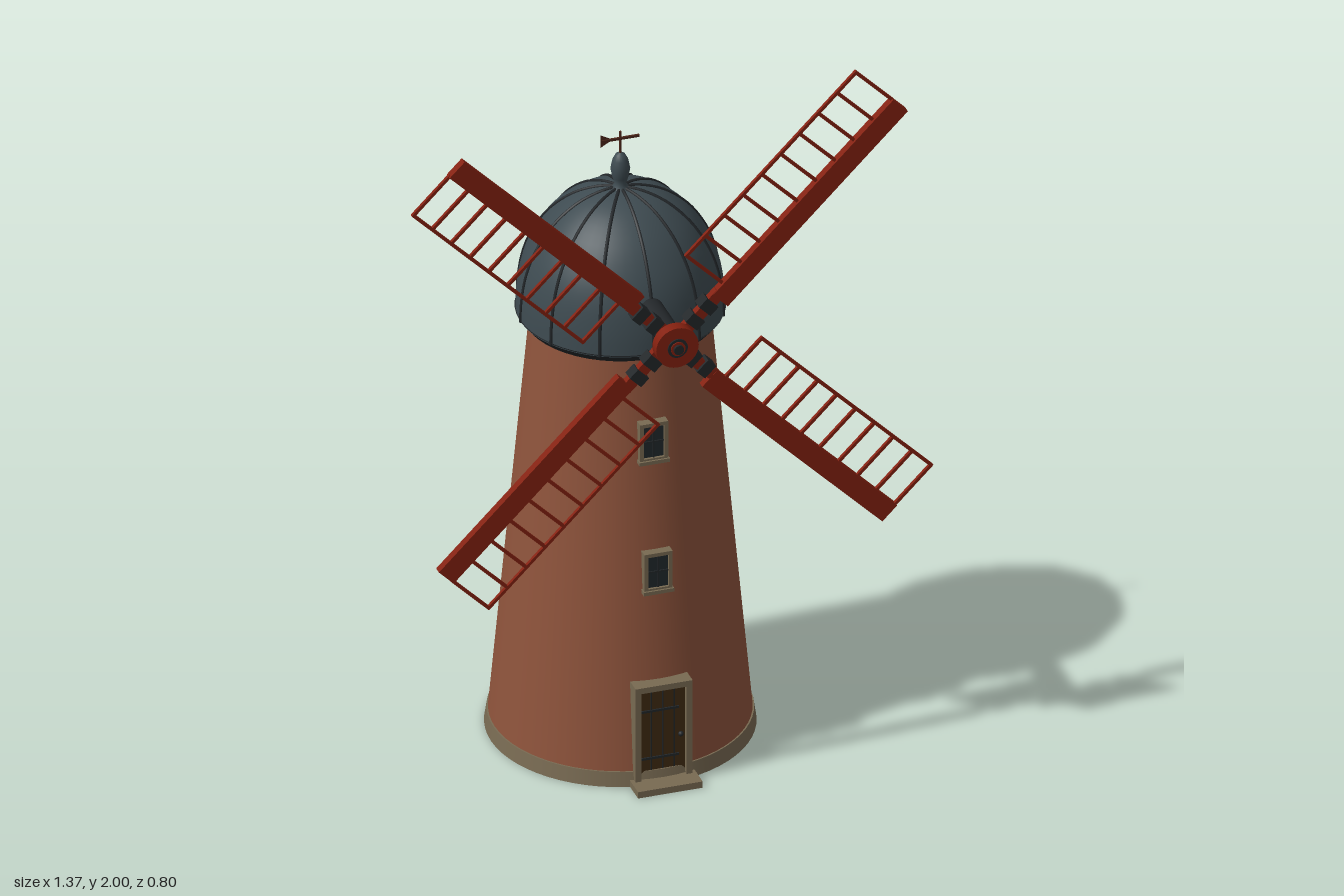
import * as THREE from 'three';

const AXIS_Z = -0.06; // tower axis
const HUB_Y = 1.31;

export function createModel() {
  const root = new THREE.Group();
  root.name = 'windmill';
  const mat = (name, color, side = THREE.FrontSide) => {
    const m = new THREE.MeshStandardMaterial({ color, side });
    m.name = name;
    return m;
  };
  const brick = mat('brick', 0x8f543c);
  const stone = mat('stone', 0x786a52);
  const slate = mat('slate', 0x3e4b51);
  const iron = mat('iron', 0x222629);
  const red = mat('red paint', 0x84200f);
  const wood = mat('door wood', 0x3e2a12);
  const glass = mat('window glass', 0x20282b);
  const vaneMat = mat('vane metal', 0x4a2418, THREE.DoubleSide);

  const add = (parent, name, geo, material, x = 0, y = 0, z = 0) => {
    const m = new THREE.Mesh(geo, material);
    m.name = name;
    m.position.set(x, y, z);
    parent.add(m);
    return m;
  };
  const box = (parent, name, material, w, h, d, x, y, z) =>
    add(parent, name, new THREE.BoxGeometry(w, h, d), material, x, y, z);
  const cyl = (rt, rb, h, n = 32) => new THREE.CylinderGeometry(rt, rb, h, n);
  const frame = (w, h, t, d) => {
    const s = new THREE.Shape();
    s.moveTo(-w / 2, -h / 2).lineTo(w / 2, -h / 2).lineTo(w / 2, h / 2).lineTo(-w / 2, h / 2);
    const a = w / 2 - t, b = h / 2 - t;
    s.holes.push(new THREE.Path().moveTo(-a, -b).lineTo(-a, b).lineTo(a, b).lineTo(a, -b));
    return new THREE.ExtrudeGeometry(s, { depth: d, bevelEnabled: false });
  };

  // Tower
  const tower = new THREE.Group();
  tower.name = 'tower';
  tower.position.z = AXIS_Z;
  root.add(tower);
  add(tower, 'plinth', cyl(0.334, 0.34, 0.04, 64), stone, 0, 0.02);
  add(tower, 'towerWall', cyl(0.225, 0.33, 1.15, 64), brick, 0, 0.615);

  // Domed cap with ribs
  const cap = new THREE.Group();
  cap.name = 'cap';
  cap.position.z = AXIS_Z;
  root.add(cap);
  const profile = new THREE.SplineCurve([
    [0.262, 1.19], [0.259, 1.25], [0.247, 1.32], [0.222, 1.385],
    [0.178, 1.45], [0.118, 1.5], [0.055, 1.526], [0, 1.533],
  ].map(p => new THREE.Vector2(...p))).getPoints(24);
  add(cap, 'dome', new THREE.LatheGeometry(profile, 48), slate);
  add(cap, 'capRim', cyl(0.264, 0.245, 0.025, 48), iron, 0, 1.182);
  const ribPath = new THREE.CatmullRomCurve3(profile.map(p => new THREE.Vector3(p.x, p.y, 0)));
  const ribGeo = new THREE.TubeGeometry(ribPath, 24, 0.0045, 6);
  for (let i = 0; i < 12; i++) add(cap, 'rib', ribGeo, iron).rotation.y = i * Math.PI / 6;

  // Finial and weather vane
  const finial = [
    [0.03, 1.525], [0.014, 1.54], [0.02, 1.56], [0.025, 1.585], [0.02, 1.61], [0.012, 1.625], [0, 1.632],
  ].map(p => new THREE.Vector2(...p));
  add(cap, 'finial', new THREE.LatheGeometry(finial, 20), slate);
  add(cap, 'vanePole', cyl(0.0035, 0.0035, 0.07, 8), vaneMat, 0, 1.655);
  box(cap, 'vaneRod', vaneMat, 0.1, 0.006, 0.006, 0, 1.67, 0);
  const tail = new THREE.Shape();
  tail.moveTo(-0.052, -0.018).lineTo(-0.02, 0).lineTo(-0.052, 0.018);
  add(cap, 'vaneTail', new THREE.ShapeGeometry(tail), vaneMat, 0, 1.67, 0);

  // Windows
  for (const [y, z] of [[0.94, 0.205], [0.585, 0.238]]) {
    const win = new THREE.Group();
    win.name = 'window';
    win.position.set(0, y, z);
    root.add(win);
    add(win, 'windowFrame', frame(0.074, 0.11, 0.01, 0.04), stone, 0, 0, -0.04);
    box(win, 'windowPane', glass, 0.056, 0.092, 0.03, 0, 0, -0.022);
    box(win, 'mullion', iron, 0.004, 0.09, 0.004, 0, 0, -0.006);
    box(win, 'glazingBar', iron, 0.056, 0.004, 0.004, 0, 0, -0.006);
    box(win, 'windowSill', stone, 0.08, 0.01, 0.04, 0, -0.055, -0.015);
  }

  // Door with planks, handle and step
  const door = new THREE.Group();
  door.name = 'door';
  root.add(door);
  add(door, 'doorFrame', frame(0.15, 0.285, 0.016, 0.06), stone, 0, 0.1425, 0.222);
  box(door, 'doorLeaf', wood, 0.12, 0.25, 0.04, 0, 0.142, 0.25);
  for (const x of [-0.03, 0, 0.03]) box(door, 'plankGap', iron, 0.003, 0.25, 0.003, x, 0.142, 0.27);
  for (const y of [0.075, 0.21]) box(door, 'hinge', iron, 0.1, 0.006, 0.006, -0.008, y, 0.271);
  add(door, 'doorKnob', new THREE.SphereGeometry(0.007, 12, 8), iron, 0.045, 0.135, 0.279);
  box(door, 'doorStep', stone, 0.17, 0.018, 0.1, 0, 0.009, 0.28);

  // Axle and hub
  const rotor = new THREE.Group();
  rotor.name = 'rotor';
  rotor.position.set(0, HUB_Y, 0.343);
  root.add(rotor);
  const disc = (name, material, r, d, z) =>
    add(rotor, name, cyl(r, r, d, 32), material, 0, 0, z).rotation.x = Math.PI / 2;
  disc('axle', iron, 0.031, 0.24, -0.1);
  disc('hub', red, 0.056, 0.03, 0.028);
  disc('hubCollar', iron, 0.026, 0.006, 0.044);
  disc('hubBoss', red, 0.019, 0.008, 0.046);
  disc('axleTip', iron, 0.013, 0.016, 0.049);

  // Four sails: stock, clamps, leading board and lattice
  for (let k = 0; k < 4; k++) {
    const sail = new THREE.Group();
    sail.name = 'sail';
    sail.rotation.z = Math.PI / 4 + k * Math.PI / 2;
    rotor.add(sail);
    box(sail, 'stock', red, 0.17, 0.03, 0.02, 0.085, -0.006, 0);
    for (const u of [0.075, 0.125]) box(sail, 'clamp', iron, 0.03, 0.042, 0.034, u, -0.004, 0);
    box(sail, 'leadingBoard', red, 0.67, 0.055, 0.022, 0.49, -0.02, 0);
    box(sail, 'outerRail', red, 0.637, 0.008, 0.009, 0.508, 0.14, 0);
    for (let i = 0; i < 10; i++)
      box(sail, 'rung', red, 0.008, 0.14, 0.009, 0.193 + i * 0.07, 0.072, 0);
  }
  return root;
}
